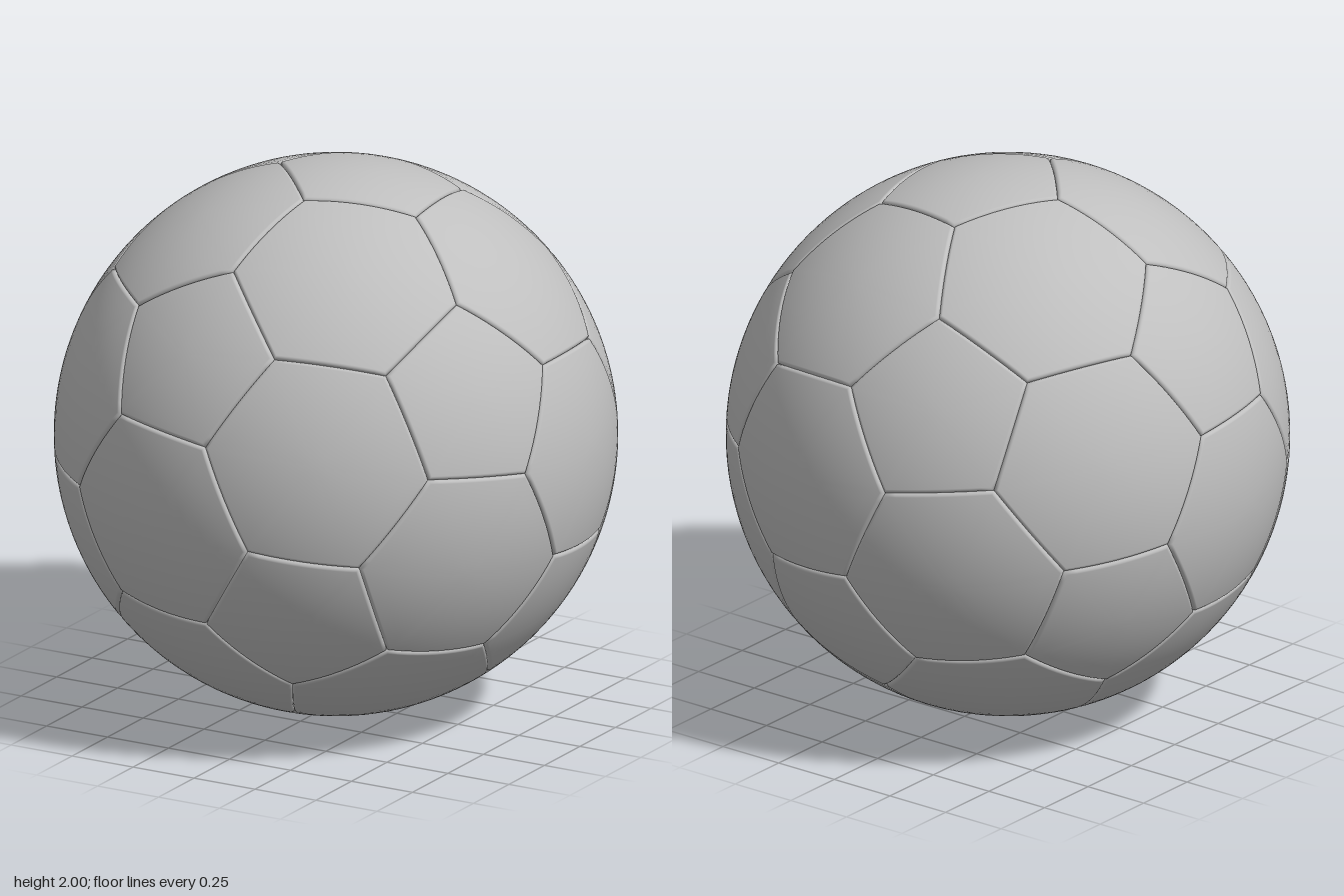
import * as THREE from 'three';

const SEAM_WIDTH = 0.015;  // from panel rim to full height
const SEAM_DEPTH = 0.015;
const EDGE_STEPS = 10;
const INNER_RINGS = 8;
const BEVEL_RINGS = 5;

// Twelve icosahedron directions from one pole and one neighbouring direction
function icosahedronDirections(pole, neighbour) {
  const side = neighbour.clone().addScaledVector(pole, -neighbour.dot(pole)).normalize();
  const dirs = [pole.clone(), pole.clone().negate()];
  for (let i = 0; i < 5; i++) {
    const d = pole.clone().multiplyScalar(1 / Math.sqrt(5))
      .addScaledVector(side.clone().applyAxisAngle(pole, i * Math.PI * 0.4), 2 / Math.sqrt(5));
    dirs.push(d, d.clone().negate());
  }
  return dirs;
}

// Corners sorted counter-clockwise around the outward axis
function sortAround(axis, corners) {
  const u = corners[0].clone().addScaledVector(axis, -corners[0].dot(axis)).normalize();
  const v = axis.clone().cross(u);
  const angle = (p) => Math.atan2(p.dot(v), p.dot(u));
  return corners.slice().sort((a, b) => angle(a) - angle(b));
}

// One domed panel: rings from the middle to a rounded rim that dips into the seam
function panelGeometry(unsorted) {
  const middle = new THREE.Vector3();
  unsorted.forEach((c) => middle.addScaledVector(c, 1 / unsorted.length));
  const corners = sortAround(middle.clone().normalize(), unsorted);
  const rim = [];
  corners.forEach((c, i) => {
    const next = corners[(i + 1) % corners.length];
    for (let k = 0; k < EDGE_STEPS; k++) rim.push(c.clone().lerp(next, k / EDGE_STEPS));
  });
  const apothem = corners[0].clone().lerp(corners[1], 0.5).distanceTo(middle);

  // Each ring is [fraction of the way to the rim, radius]
  const rings = [];
  const flatEnd = 1 - SEAM_WIDTH / apothem;
  for (let i = 1; i <= INNER_RINGS; i++) rings.push([flatEnd * i / INNER_RINGS, 1]);
  for (let i = 1; i <= BEVEL_RINGS; i++) {
    const a = (i / BEVEL_RINGS) * Math.PI / 2;
    rings.push([1 - SEAM_WIDTH * (1 - Math.sin(a)) / apothem, 1 - SEAM_DEPTH * (1 - Math.cos(a))]);
  }

  const positions = middle.clone().normalize().toArray();
  const index = [];
  const n = rim.length;
  rings.forEach(([t, radius], r) => {
    rim.forEach((p, i) => {
      positions.push(...middle.clone().lerp(p, t).setLength(radius).toArray());
      const j = (i + 1) % n;
      const out = 1 + r * n, inner = out - n;
      if (r === 0) index.push(0, out + i, out + j);
      else index.push(inner + i, out + i, out + j, inner + i, out + j, inner + j);
    });
  });
  const geometry = new THREE.BufferGeometry();
  geometry.setAttribute('position', new THREE.Float32BufferAttribute(positions, 3));
  geometry.setIndex(index);
  geometry.computeVertexNormals();
  return geometry;
}

export function createModel() {
  const model = new THREE.Group();
  model.name = 'ball';
  const grey = new THREE.MeshStandardMaterial({ color: 0xbfbfbf });
  grey.name = 'panel grey';

  const dirs = icosahedronDirections(
    new THREE.Vector3(0.104, 0.993, -0.06).normalize(),
    new THREE.Vector3(-0.13, 0.51, 0.85).normalize());
  const near = (a, b) => a !== b && a.dot(b) > 0.4;
  // Seam corner one third of the way from a to b
  const corner = (a, b) => a.clone().lerp(b, 1 / 3).normalize();

  const shell = new THREE.Group();
  shell.name = 'panels';
  shell.position.y = 1;
  model.add(shell);
  const addPanel = (name, corners) => {
    const mesh = new THREE.Mesh(panelGeometry(corners), grey);
    mesh.name = name;
    shell.add(mesh);
  };

  // Twelve pentagons, one on each direction
  dirs.forEach((d) => addPanel('pentagonPanel', dirs.filter((e) => near(d, e)).map((e) => corner(d, e))));

  // Twenty hexagons, one on each triangle of neighbouring directions
  dirs.forEach((a, i) => dirs.forEach((b, j) => dirs.forEach((c, k) => {
    if (i < j && j < k && near(a, b) && near(b, c) && near(a, c)) {
      addPanel('hexagonPanel', [corner(a, b), corner(b, a), corner(b, c),
        corner(c, b), corner(c, a), corner(a, c)]);
    }
  })));
  return model;
}
